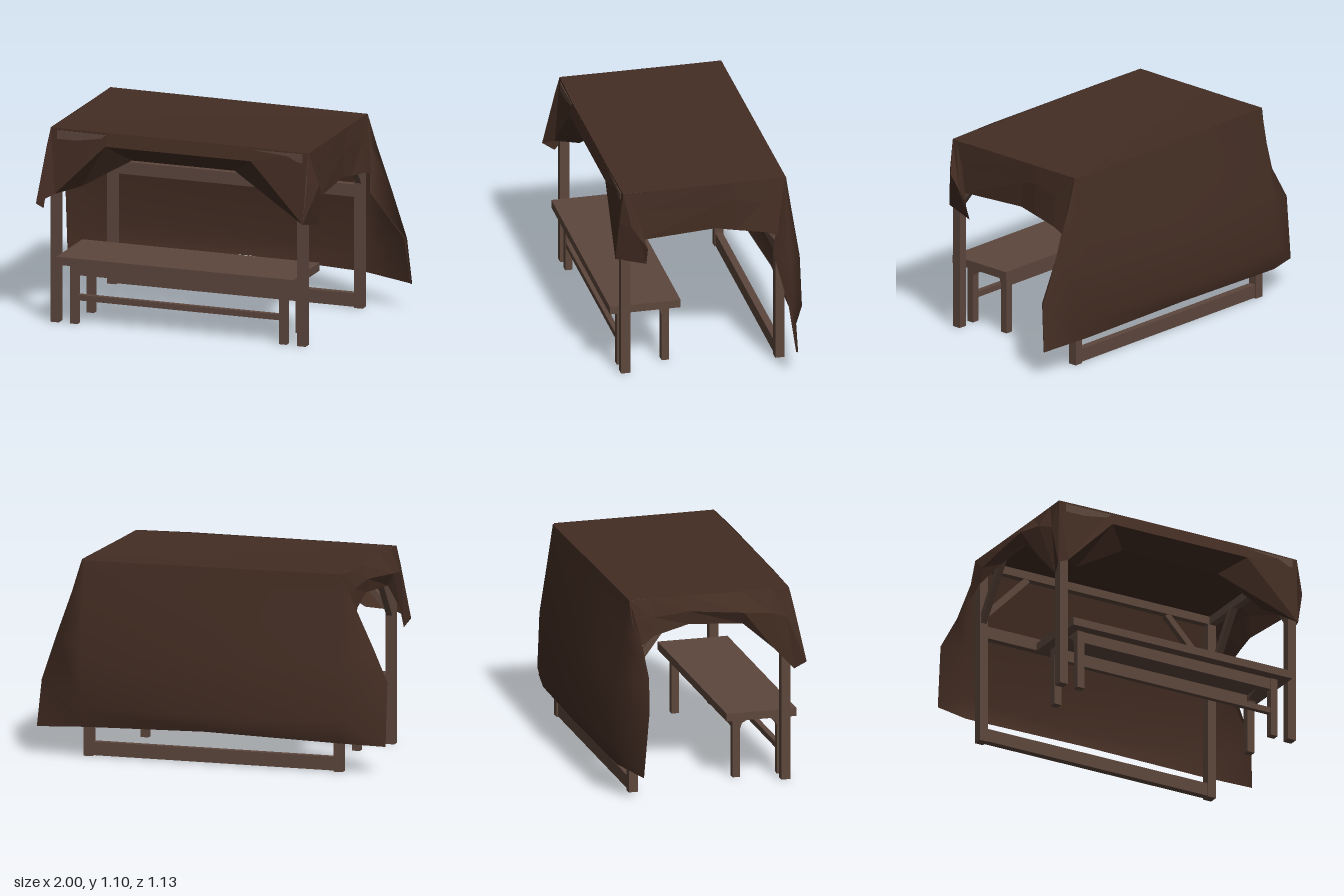
import * as THREE from 'three';

const wood = new THREE.MeshStandardMaterial({ color: 0x5d473d });
wood.name = 'brown wood';
const cloth = new THREE.MeshStandardMaterial({ color: 0x432d23, side: THREE.DoubleSide });
cloth.name = 'dark brown cloth';

export function createModel() {
  const model = new THREE.Group();

  const add = (name, geometry, material) => {
    const mesh = new THREE.Mesh(geometry, material);
    mesh.name = name;
    model.add(mesh);
    return mesh;
  };
  // Box given by its limits on each axis
  const box = (name, x0, x1, y0, y1, z0, z1) =>
    add(name, new THREE.BoxGeometry(x1 - x0, y1 - y0, z1 - z0), wood)
      .position.set((x0 + x1) / 2, (y0 + y1) / 2, (z0 + z1) / 2);
  // Square bar between two points
  const bar = (name, a, b, w) => {
    const from = new THREE.Vector3(...a), to = new THREE.Vector3(...b);
    const mesh = add(name, new THREE.BoxGeometry(w, w, from.distanceTo(to)), wood);
    mesh.position.copy(from).add(to).multiplyScalar(0.5);
    mesh.lookAt(to);
  };
  // Cloth panel lofted through rows of points
  const panel = (name, rows, smooth = false) => {
    const n = rows[0].length, index = [];
    for (let r = 0; r < rows.length - 1; r++) {
      for (let c = 0; c < n - 1; c++) {
        const i = r * n + c;
        index.push(i, i + n, i + 1, i + 1, i + n, i + n + 1);
      }
    }
    let g = new THREE.BufferGeometry();
    g.setAttribute('position', new THREE.Float32BufferAttribute(rows.flat(2), 3));
    g.setIndex(index);
    if (!smooth) g = g.toNonIndexed();
    g.computeVertexNormals();
    add(name, g, cloth);
  };

  // Corner posts and diagonal braces
  for (const [x0, x1, s] of [[-0.755, -0.705, -1], [0.685, 0.735, 1]]) {
    const x = (x0 + x1) / 2;
    box('frontPost', x0, x1, 0.005, 0.96, 0.432, 0.483);
    box('frontPostHead', x0 + 0.01, x1, 0.96, 1.04, 0.432, 0.473);
    box('backPost', x0, x1, 0.005, 1.04, -0.432, -0.38);
    box('sideBeam', x0 + 0.01, x1, 1.04, 1.087, -0.42, 0.47);
    bar('frontSideBrace', [x, 0.73, 0.44], [x, 1.05, 0.2], 0.035);
    bar('backSideBrace', [x, 0.72, -0.395], [x, 1.05, -0.15], 0.035);
    for (const z of [0.44, -0.4]) bar('crossBrace', [x, 0.75, z], [x - s * 0.28, 1.04, z], 0.035);
  }

  // Long beams and rails
  box('frontBeam', -0.715, 0.715, 1.04, 1.087, 0.432, 0.483);
  box('backBeam', -0.715, 0.715, 1.04, 1.087, -0.42, -0.38);
  box('upperBackRail', -0.705, 0.685, 0.63, 0.7, -0.425, -0.385);
  box('lowerBackRail', -0.705, 0.685, 0.01, 0.085, -0.425, -0.385);

  // Table with arched end frames
  box('tableTop', -0.7, 0.683, 0.344, 0.389, 0.138, 0.534);
  const end = new THREE.Shape();
  [[0.188, 0.005], [0.23, 0.005], [0.23, 0.28], [0.24, 0.31], [0.28, 0.332], [0.335, 0.342], [0.39, 0.332],
    [0.43, 0.306], [0.44, 0.28], [0.44, 0.005], [0.48, 0.005], [0.48, 0.345], [0.188, 0.345]]
    .forEach(([z, y], i) => (i ? end.lineTo(z, y) : end.moveTo(z, y)));
  for (const x of [-0.598, 0.622]) {
    const g = new THREE.ExtrudeGeometry(end, { depth: 0.044, bevelEnabled: false });
    g.rotateY(-Math.PI / 2);
    add('tableEndFrame', g, wood).position.x = x;
  }
  for (const z of [0.195, 0.445]) box('tableApron', -0.6, 0.58, 0.28, 0.345, z, z + 0.03);
  box('tableStretcher', -0.6, 0.58, 0.138, 0.17, 0.445, 0.475);

  // Roof cloth
  panel('roofCloth', [
    [[-0.755, 1.1, -0.43], [0, 1.095, -0.435], [0.745, 1.09, -0.44]],
    [[-0.755, 1.098, 0], [0, 1.092, 0], [0.745, 1.093, 0]],
    [[-0.755, 1.1, 0.475], [0, 1.098, 0.48], [0.745, 1.095, 0.475]],
  ], true);

  // Long back curtain flaring out at both ends, its edges wrapped forward
  panel('backCurtain', [
    [[-0.755, 1.1, -0.43], [-0.75, 1.1, -0.43], [0, 1.095, -0.435], [0.735, 1.09, -0.44],
      [0.745, 1.09, -0.435], [0.745, 1.09, -0.43]],
    [[-0.81, 0.925, -0.385], [-0.76, 0.9, -0.46], [0, 0.9, -0.475], [0.73, 0.9, -0.47],
      [0.8, 0.915, -0.435], [0.77, 0.915, -0.4]],
    [[-0.91, 0.69, -0.36], [-0.77, 0.62, -0.505], [0, 0.61, -0.535], [0.72, 0.6, -0.52],
      [0.89, 0.67, -0.43], [0.79, 0.67, -0.355]],
    [[-1, 0.51, -0.385], [-0.78, 0.31, -0.54], [0, 0.29, -0.567], [0.71, 0.29, -0.535],
      [0.98, 0.415, -0.42], [0.97, 0.42, -0.4]],
    [[-1, 0.157, -0.415], [-0.77, 0.178, -0.505], [0, 0.2, -0.53], [0.7, 0.18, -0.505],
      [1, 0.155, -0.445], [0.995, 0.155, -0.435]],
  ], true);

  // Front valance, gathered at the corners and tucked under
  panel('frontValance', [
    [[-0.755, 1.1, 0.475], [-0.43, 1.1, 0.48], [0.42, 1.1, 0.48], [0.745, 1.095, 0.475]],
    [[-0.72, 0.735, 0.51], [-0.43, 1.025, 0.497], [0.42, 1.025, 0.497], [0.73, 0.7, 0.515]],
    [[-0.6, 0.765, 0.4], [-0.31, 0.935, 0.4], [0.29, 0.935, 0.4], [0.57, 0.79, 0.4]],
  ]);
  panel('frontCornerFold', [
    [[-0.755, 1.1, 0.475], [-0.755, 1.1, 0.475]],
    [[-0.72, 0.735, 0.51], [-0.81, 0.685, 0.56]],
  ]);

  // Side valances: top edge z, then the bulge point and the hem point below it
  const sideValance = (name, topX, topY, columns) => panel(name, [
    columns.map(([z]) => [topX, topY, z]),
    columns.map(([, bulge]) => bulge),
    columns.map(([, , hem]) => hem),
  ]);
  sideValance('leftValance', 0.745, 1.094, [
    [0.475, [0.745, 0.92, 0.495], [0.73, 0.7, 0.515]],
    [0.475, [0.8, 0.915, 0.44], [0.74, 0.68, 0.43]],
    [0.475, [0.79, 0.84, 0.395], [0.75, 0.66, 0.345]],
    [0.475, [0.785, 0.84, 0.395], [0.785, 0.765, 0.345]],
    [0.45, [0.755, 0.97, 0.4], [0.765, 0.815, 0.365]],
    [-0.04, [0.75, 0.97, -0.04], [0.75, 0.833, -0.04]],
    [-0.15, [0.755, 1.0, -0.15], [0.76, 0.815, -0.15]],
    [-0.3, [0.76, 0.96, -0.3], [0.785, 0.795, -0.315]],
    [-0.43, [0.765, 0.95, -0.41], [0.79, 0.77, -0.38]],
  ]);
  sideValance('rightValance', -0.755, 1.099, [
    [0.475, [-0.77, 1.0, 0.497], [-0.81, 0.685, 0.56]],
    [0.45, [-0.79, 0.94, 0.455], [-0.79, 0.645, 0.495]],
    [0.38, [-0.815, 0.98, 0.36], [-0.81, 0.78, 0.37]],
    [0.2, [-0.835, 1.0, 0.2], [-0.8, 0.93, 0.2]],
    [-0.1, [-0.79, 1.02, -0.1], [-0.78, 0.945, -0.1]],
    [-0.3, [-0.785, 1.0, -0.3], [-0.8, 0.9, -0.3]],
    [-0.43, [-0.78, 0.98, -0.42], [-0.81, 0.84, -0.39]],
  ]);

  return model;
}
